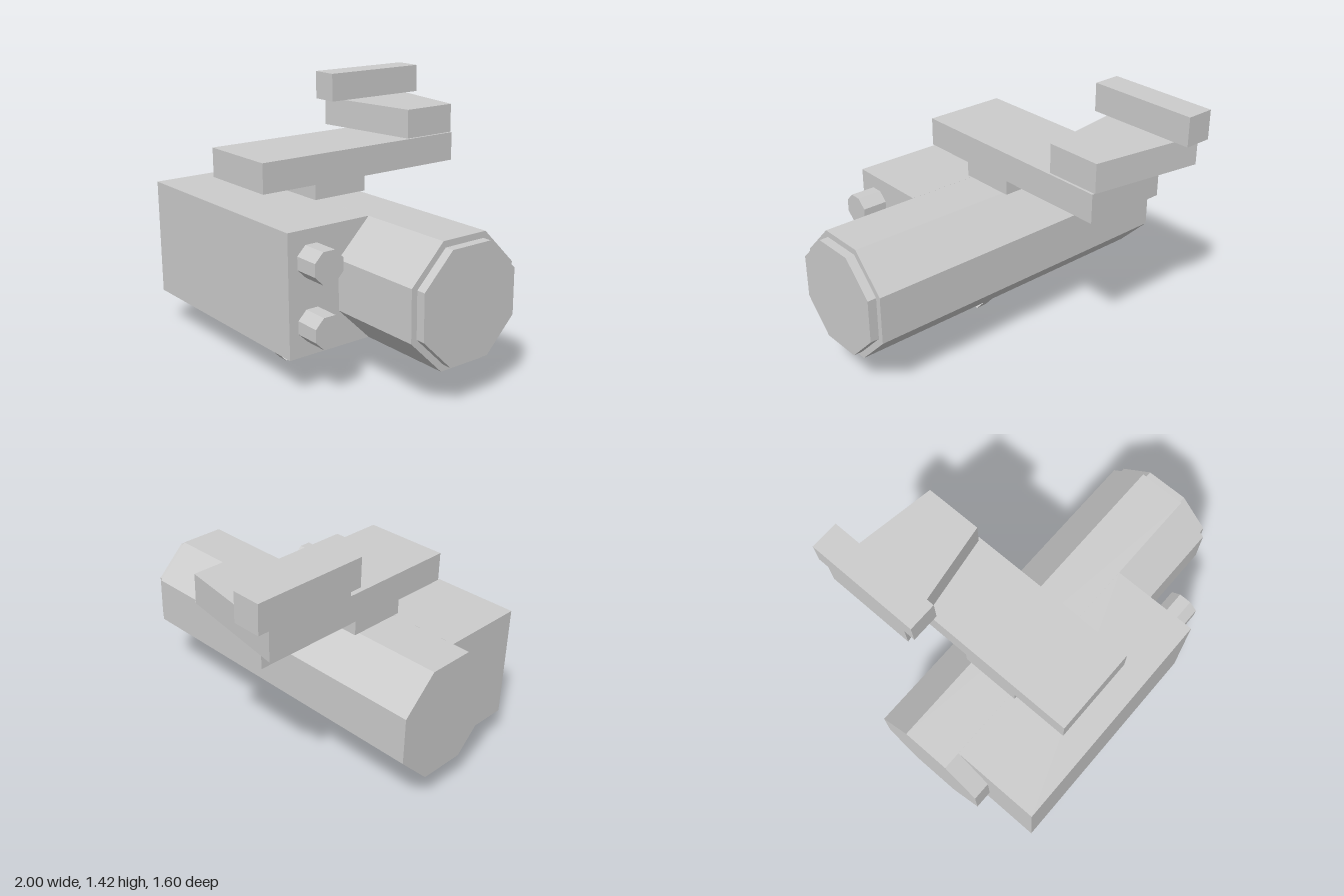
import * as THREE from 'three';

const material = new THREE.MeshStandardMaterial({ color: 0xcccccc, flatShading: true });
const thinMaterial = new THREE.MeshStandardMaterial({ color: 0xcccccc, flatShading: true, side: THREE.DoubleSide });

export function createModel() {
  const model = new THREE.Group();
  model.name = 'model';

  const add = (name, geometry, mat = material) => {
    const mesh = new THREE.Mesh(geometry, mat);
    mesh.name = name;
    model.add(mesh);
    return mesh;
  };

  // Box given by its extents on each axis
  const box = (name, [x0, x1], [y0, y1], [z0, z1]) =>
    add(name, new THREE.BoxGeometry(x1 - x0, y1 - y0, z1 - z0))
      .position.set((x0 + x1) / 2, (y0 + y1) / 2, (z0 + z1) / 2);

  // Eight-sided bar along x with flats facing up, down, front and back
  const octagonBar = (name, [x0, x1], y, z, halfWidth) => {
    const r = halfWidth / Math.cos(Math.PI / 8);
    const geometry = new THREE.CylinderGeometry(r, r, x1 - x0, 8, 1, false, Math.PI / 8);
    geometry.rotateZ(-Math.PI / 2);
    add(name, geometry).position.set((x0 + x1) / 2, y, z);
  };

  // Main barrel with its end cap
  octagonBar('barrel', [-1, 0.95], 0.525, 0.175, 0.325);
  octagonBar('barrelEndCap', [0.95, 1], 0.525, 0.175, 0.292);

  // Front housing with two knobs on its left side
  box('housing', [-0.9, 0.4], [0.2, 0.85], [0.31, 0.8]);
  for (const [name, y] of [['upperKnob', 0.69], ['lowerKnob', 0.36]]) {
    octagonBar(name, [0.4, 0.545], y, 0.663, 0.083);
  }

  // Stacked arm on top
  box('armStem', [-0.5, -0.01], [0.85, 0.932], [0.01, 0.34]);
  box('armPlate', [-0.5, -0.01], [0.932, 1.095], [-0.635, 0.665]);

  // Tapered block, outlined in x and z, then extruded downward
  const outline = new THREE.Shape([
    new THREE.Vector2(-0.67, -0.737), new THREE.Vector2(-0.025, -0.639),
    new THREE.Vector2(-0.025, -0.314), new THREE.Vector2(-0.67, -0.216),
  ]);
  const taper = new THREE.ExtrudeGeometry(outline, { depth: 0.163, bevelEnabled: false });
  taper.rotateX(Math.PI / 2);
  add('taperedBlock', taper).position.y = 1.258;

  box('topBar', [-0.67, -0.51], [1.258, 1.42], [-0.8, -0.15]);

  // Thin bent strap below, following a path in z and y
  const path = [[0.08, 0.2], [0.26, 0], [0.56, 0], [0.74, 0.2]];
  const strap = new THREE.PlaneGeometry(0.065, 1, 1, path.length - 1);
  const p = strap.attributes.position;
  for (let i = 0; i < p.count; i++) {
    const [z, y] = path[Math.floor(i / 2)];
    p.setXYZ(i, p.getX(i) - 0.0275, y, z);
  }
  strap.computeVertexNormals();
  add('strap', strap, thinMaterial);

  return model;
}
